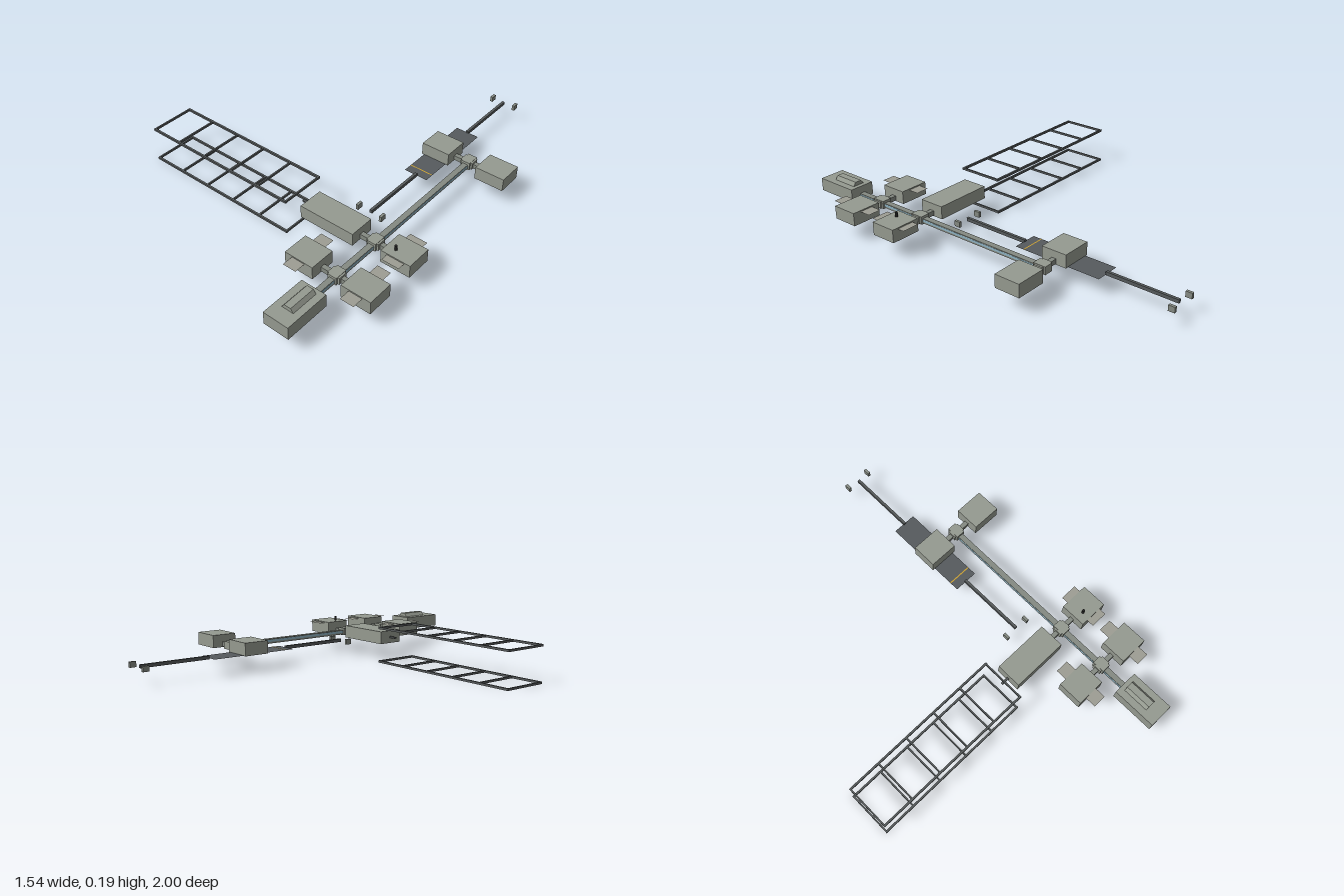
import * as THREE from 'three';

const mat = (color, side = THREE.FrontSide) => {
  const m = new THREE.MeshStandardMaterial({ side });
  m.color.set(color);
  return m;
};
const hull = mat(0x959a90), pipe = mat(0x858a82), dark = mat(0x55595a);
const black = mat(0x222222), blue = mat(0x8fb4c4);
const wingMat = mat(0x9e9e94, THREE.DoubleSide);
const panelMat = mat(0x565b5e, THREE.DoubleSide);
const yellow = mat(0xc9a032, THREE.DoubleSide);

export function createModel() {
  const root = new THREE.Group();

  // Box given by its limits on each axis
  const box = (name, x0, x1, y0, y1, z0, z1, m, parent = root) => {
    const mesh = new THREE.Mesh(new THREE.BoxGeometry(x1 - x0, y1 - y0, z1 - z0), m);
    mesh.position.set((x0 + x1) / 2, (y0 + y1) / 2, (z0 + z1) / 2);
    mesh.name = name;
    parent.add(mesh);
    return mesh;
  };
  // Thin horizontal sheet
  const sheet = (name, x0, x1, y, z0, z1, m) => {
    const mesh = new THREE.Mesh(new THREE.PlaneGeometry(x1 - x0, z1 - z0).rotateX(-Math.PI / 2), m);
    mesh.position.set((x0 + x1) / 2, y, (z0 + z1) / 2);
    mesh.name = name;
    root.add(mesh);
  };

  // Modules on both sides of the spine
  const Y0 = 0.087, Y1 = 0.153;
  const module = (name, x0, x1, z0, z1) => box(name, x0, x1, Y0, Y1, z0, z1, hull);
  module('rearRightModule', 0.305, 0.458, -0.46, -0.328);
  module('rearLeftModule', 0.612, 0.766, -0.46, -0.328);
  module('longModule', 0.157, 0.458, 0.287, 0.42);
  module('middleLeftModule', 0.612, 0.766, 0.287, 0.42);
  module('frontRightModule', 0.305, 0.458, 0.555, 0.688);
  module('frontLeftModule', 0.612, 0.766, 0.555, 0.688);
  module('frontModule', 0.47, 0.602, 0.767, 0.998);

  // Side sheets of the modules, one on each face
  const wings = [
    [0.345, 0.415, 0.497, 0.555, 0.688, 0.745],
    [0.654, 0.724, 0.497, 0.555, 0.688, 0.745],
    [0.645, 0.735, 0.25, 0.287, 0.42, 0.458],
  ];
  for (const [x0, x1, a, b, c, d] of wings) {
    sheet('rearWing', x0, x1, 0.147, a, b, wingMat);
    sheet('frontWing', x0, x1, 0.147, c, d, wingMat);
  }

  // Raised hatch with sloping sides on the front module
  const s = new THREE.Shape();
  s.moveTo(-0.031, 0);
  s.lineTo(0.031, 0);
  s.lineTo(0.017, 0.019);
  s.lineTo(-0.017, 0.019);
  s.closePath();
  const hatch = new THREE.Mesh(new THREE.ExtrudeGeometry(s, { depth: 0.138, bevelEnabled: false }), hull);
  hatch.position.set(0.537, Y1, 0.79);
  hatch.name = 'hatch';
  root.add(hatch);

  // Short mast on the middle module
  const mast = new THREE.Mesh(new THREE.CylinderGeometry(0.007, 0.007, 0.024, 10), black);
  mast.position.set(0.66, 0.164, 0.376);
  mast.name = 'mast';
  root.add(mast);

  // Spine with window strips
  box('spine', 0.521, 0.55, 0.092, 0.116, -0.395, 0.77, pipe);
  for (const x of [0.521, 0.55])
    box('windowStrip', x - 0.001, x + 0.001, 0.101, 0.112, -0.36, 0.765, blue);

  // Junction nodes with cross tubes to the modules
  for (const z of [-0.395, 0.353, 0.62]) {
    box('node', 0.512, 0.559, 0.088, 0.128, z - 0.033, z + 0.033, hull);
    box('nodeCollar', 0.503, 0.568, 0.09, 0.126, z - 0.023, z + 0.023, hull);
    box('crossTube', 0.455, 0.615, 0.092, 0.116, z - 0.012, z + 0.012, pipe);
  }

  // Keel poles, with pairs of small blocks at the far ends
  box('rearPole', 0.375, 0.389, 0.082, 0.099, -0.98, -0.62, dark);
  box('frontPole', 0.375, 0.389, 0.082, 0.099, -0.17, 0.19, dark);
  for (const z of [-0.985, 0.19])
    for (const x of [0.314, 0.448])
      box('endBlock', x - 0.007, x + 0.007, 0.077, 0.105, z - 0.016, z + 0.016, pipe);

  // Dark radiator sheets on both sides of the rear module
  sheet('rearRadiator', 0.318, 0.445, 0.089, -0.625, -0.46, panelMat);
  sheet('frontRadiator', 0.318, 0.445, 0.089, -0.328, -0.165, panelMat);
  sheet('radiatorStripe', 0.318, 0.445, 0.0905, -0.216, -0.21, yellow);

  // Two open ladder frames, one above the other
  for (const y of [0.007, 0.184]) {
    const frame = new THREE.Group();
    frame.name = 'ladderFrame';
    root.add(frame);
    const y0 = y - 0.006, y1 = y + 0.005;
    for (const z of [0.24, 0.47])
      box('rail', -0.77, 0.116, y0, y1, z - 0.005, z + 0.005, dark, frame);
    for (const x of [-0.766, -0.592, -0.416, -0.24, -0.065, 0.111])
      box('rung', x - 0.004, x + 0.004, y0, y1, 0.24, 0.47, dark, frame);
  }
  box('frameArm', 0.114, 0.16, 0.115, 0.123, 0.347, 0.359, dark);

  return root;
}
